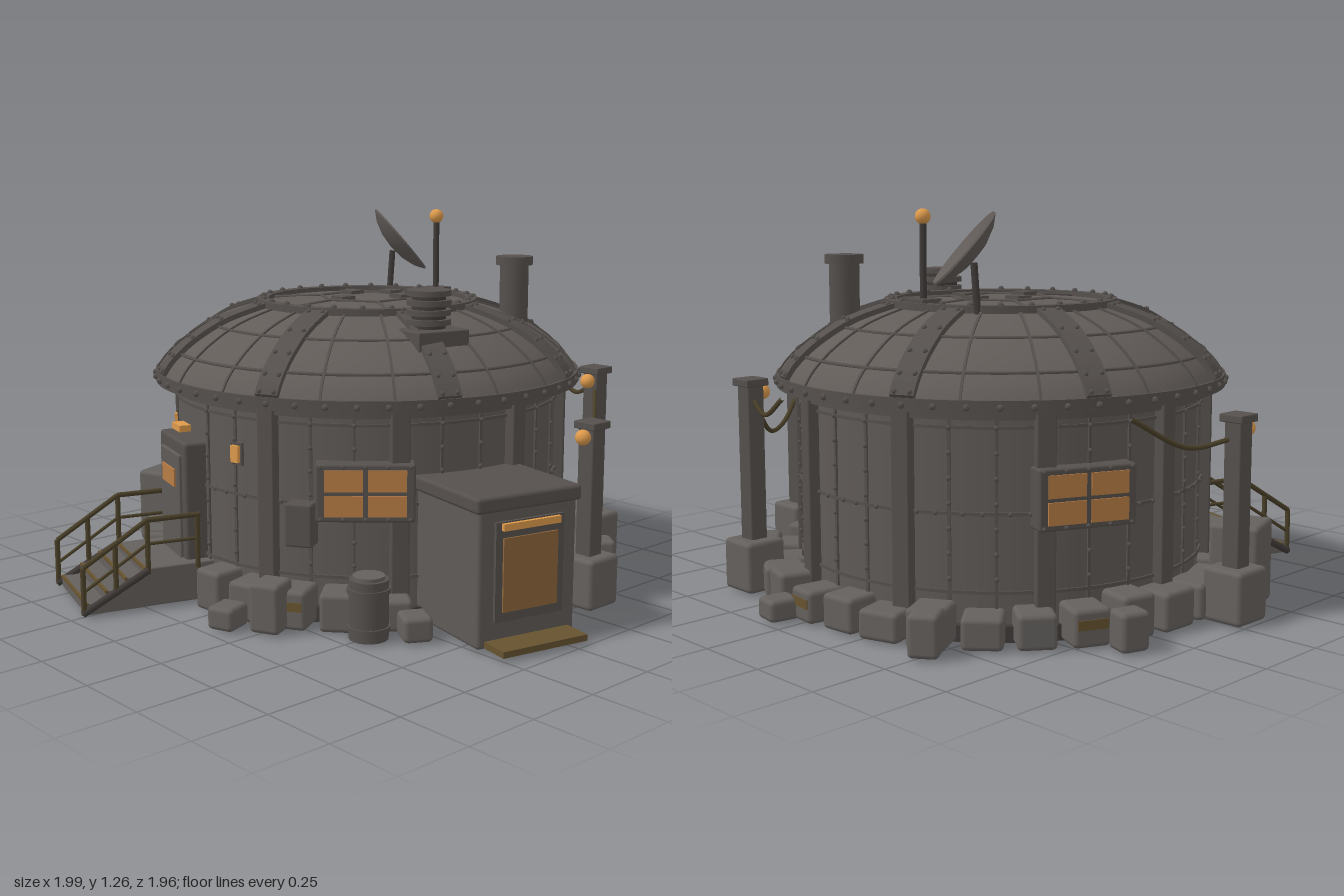
import * as THREE from 'three';
import { mergeGeometries, toCreasedNormals } from 'three/addons/utils/BufferGeometryUtils.js';
import { RoundedBoxGeometry } from 'three/addons/geometries/RoundedBoxGeometry.js';

const mat = (name, color, side = THREE.FrontSide) => {
  const m = new THREE.MeshStandardMaterial({ color, side });
  m.name = name;
  return m;
};
const V = (x, y, z) => new THREE.Vector3(x, y, z);
const rad = THREE.MathUtils.degToRad;

export function createModel() {
  const root = new THREE.Group();
  root.name = 'domeHut';
  const wallM = mat('wall grey', 0x5f5a57), roofM = mat('roof grey', 0x625c59, THREE.DoubleSide);
  const trimM = mat('trim grey', 0x55504d), stoneM = mat('stone grey', 0x64605d);
  const darkM = mat('dark iron', 0x403b39), brassM = mat('old brass', 0x66522f);
  const railM = mat('rail brass', 0x4a4029), amberM = mat('amber glass', 0xb87c45);
  const dullM = mat('dull amber', 0x8c663c), lampM = mat('lamp glow', 0xdd9a4c);

  // Helpers
  const add = (parent, name, geo, m, x = 0, y = 0, z = 0) => {
    const mesh = new THREE.Mesh(geo, m);
    mesh.name = name;
    mesh.position.set(x, y, z);
    parent.add(mesh);
    return mesh;
  };
  const box = (p, name, m, w, h, d, x, y, z, r = 0) =>
    add(p, name, r ? new RoundedBoxGeometry(w, h, d, 2, r) : new THREE.BoxGeometry(w, h, d), m, x, y, z);
  const cyl = (p, name, m, r, h, x, y, z, n = 24, r2 = r) =>
    add(p, name, new THREE.CylinderGeometry(r2, r, h, n), m, x, y, z);
  const rod = (p, name, m, a, b, r) => {
    const mesh = cyl(p, name, m, r, a.distanceTo(b), 0, 0, 0, 8);
    mesh.position.copy(a).lerp(b, 0.5);
    mesh.quaternion.setFromUnitVectors(V(0, 1, 0), b.clone().sub(a).normalize());
    return mesh;
  };
  const cable = (p, name, pts) =>
    add(p, name, new THREE.TubeGeometry(new THREE.CatmullRomCurve3(pts), 20, 0.008, 6), railM);
  const lathe = (pts, n = 72) =>
    toCreasedNormals(new THREE.LatheGeometry(pts.map(q => new THREE.Vector2(q[0], q[1])), n), 0.6);
  const band = (r0, r1, y0, y1) => lathe([[r0, y0], [r1, y0], [r1, y1], [r0, y1], [r0, y0]]);
  const rivets = (p, name, pts, r = 0.009) => add(p, name, mergeGeometries(
    pts.map(q => new THREE.SphereGeometry(r, 6, 4).translate(q.x, q.y, q.z))), trimM);
  const polar = (deg, r, y) => V(Math.sin(rad(deg)) * r, y, Math.cos(rad(deg)) * r);
  let seed = 7;
  const rnd = () => (seed = (seed * 16807) % 2147483647) / 2147483647;

  // Round body; each sector has local +z pointing outward
  const hub = new THREE.Group();
  hub.name = 'roundBody';
  hub.position.set(-0.09, 0, -0.135);
  root.add(hub);
  const sector = (name, deg) => {
    const g = new THREE.Group();
    g.name = name;
    g.rotation.y = rad(deg);
    hub.add(g);
    return g;
  };
  const R = 0.665, door = -17.5, annexDeg = 77;
  add(hub, 'wall', new THREE.CylinderGeometry(R, R, 0.7, 72, 1, true), wallM, 0, 0.36, 0);
  cyl(hub, 'floor', darkM, 0.69, 0.05, 0, 0.03, 0, 72);
  for (const y of [0.15, 0.385, 0.64]) add(hub, 'wallSeamRing', band(R - 0.01, R + 0.006, y - 0.005, y + 0.005), trimM);
  const wallRivets = [];
  for (let k = 0; k < 30; k++) {
    const a = 20 + 12 * k;
    if (Math.abs(a - 360 - door) < 11) continue;
    if (k % 3 === 0) {
      const s = sector('wallPillar', a);
      box(s, 'pillar', trimM, 0.06, 0.68, 0.05, 0, 0.36, R + 0.01, 0.006);
    } else {
      const s = sector('wallSeam', a);
      box(s, 'seam', trimM, 0.01, 0.64, 0.012, 0, 0.38, R);
      for (let y = 0.19; y < 0.68; y += 0.075) wallRivets.push(polar(a, R + 0.006, y));
    }
    for (const d of [-3.5, 3.5]) wallRivets.push(polar(a + d, R + 0.005, 0.385));
  }
  rivets(hub, 'wallRivets', wallRivets, 0.008);

  // Roof shell, eave, straps and seams
  const curve = new THREE.SplineCurve([[0.735, 0.725], [0.7, 0.775], [0.625, 0.84], [0.51, 0.905], [0.36, 0.952]]
    .map(q => new THREE.Vector2(q[0], q[1])));
  const prof = curve.getPoints(16);
  add(hub, 'roof', new THREE.LatheGeometry(prof, 72), roofM);
  add(hub, 'roofCap', new THREE.LatheGeometry([[0.37, 0.95], [0.25, 0.961], [0.12, 0.967], [0, 0.969]]
    .map(q => new THREE.Vector2(q[0], q[1])), 72), roofM);
  add(hub, 'eave', band(0.64, 0.742, 0.69, 0.73), trimM);
  add(hub, 'wallCrown', band(0.64, 0.69, 0.665, 0.695), trimM);
  add(hub, 'capRing', band(0.345, 0.385, 0.94, 0.968), trimM);
  const edge = [];
  for (let a = 0; a < 360; a += 7.5) edge.push(polar(a, 0.743, 0.71));
  for (let a = 0; a < 360; a += 15) edge.push(polar(a, 0.365, 0.969));
  rivets(hub, 'edgeRivets', edge, 0.011);
  for (const t of [0.35, 0.68]) {
    const q = curve.getPoint(t);
    add(hub, 'roofSeamRing', new THREE.TorusGeometry(q.x, 0.006, 6, 72).rotateX(Math.PI / 2), trimM, 0, q.y, 0);
  }
  const ribGeo = (w, t) => {
    const shape = new THREE.Shape([...prof.map(q => new THREE.Vector2(q.x + t * 0.6, q.y + t)),
      ...prof.slice().reverse().map(q => new THREE.Vector2(q.x - 0.02, q.y - 0.02))]);
    return new THREE.ExtrudeGeometry(shape, { depth: w, bevelEnabled: false })
      .translate(0, 0, -w / 2).rotateY(-Math.PI / 2);
  };
  const strapGeo = ribGeo(0.078, 0.014), seamGeo = ribGeo(0.008, 0.005);
  for (let k = 0; k < 8; k++) {
    const s = sector('roofStrap', 22.5 + 45 * k);
    add(s, 'strap', strapGeo, trimM);
    rivets(s, 'strapRivets', [0.06, 0.28, 0.5, 0.72, 0.93].flatMap(t => {
      const q = curve.getPoint(t);
      return [-0.025, 0.025].map(x => V(x, q.y + 0.015, q.x + 0.008));
    }));
    for (const d of [-9, 9]) add(sector('roofSeam', 45 * k + d), 'seam', seamGeo, trimM);
  }
  // Hexagonal cap panelling
  for (let k = 0; k < 6; k++) {
    rod(hub, 'capSeam', trimM, polar(60 * k, 0.17, 0.967), polar(60 * k + 60, 0.17, 0.967), 0.006);
    rod(hub, 'capSeam', trimM, polar(60 * k, 0.17, 0.967), polar(60 * k, 0.36, 0.954), 0.006);
  }
  for (const [x, z] of [[-0.11, -0.03], [0.1, -0.07], [0.01, 0.12], [-0.025, -0.14]])
    box(hub, 'capPlate', trimM, 0.06, 0.02, 0.06, x, 0.97, z);

  // Entrance
  const e = sector('entrance', door);
  box(e, 'doorFrame', trimM, 0.27, 0.41, 0.1, 0, 0.325, 0.675, 0.012);
  box(e, 'doorLeaf', wallM, 0.2, 0.36, 0.02, 0, 0.305, 0.725, 0.006);
  box(e, 'doorWindow', amberM, 0.13, 0.06, 0.008, 0, 0.4, 0.737);
  box(e, 'doorLamp', lampM, 0.08, 0.022, 0.04, 0, 0.56, 0.69);
  for (const d of [-26.5, 26.5]) {
    const s = sector('wallLamp', door + d);
    box(s, 'lampPlate', trimM, 0.045, 0.075, 0.02, 0, 0.52, R);
    box(s, 'lamp', lampM, 0.032, 0.055, 0.02, 0, 0.52, R + 0.012);
  }
  box(e, 'landing', stoneM, 0.34, 0.13, 0.25, 0, 0.07, 0.755, 0.006);
  for (let i = 0; i < 3; i++) {
    const h = 0.105 - i * 0.035, z = 0.91 + i * 0.065;
    box(e, 'step', stoneM, 0.34, h, 0.07, 0, h / 2 + 0.005, z);
    box(e, 'stepEdge', brassM, 0.34, 0.009, 0.009, 0, h + 0.003, z + 0.032);
  }
  box(e, 'landingEdge', brassM, 0.34, 0.009, 0.009, 0, 0.133, 0.878);
  for (const x of [-0.178, 0.178]) {
    rod(e, 'stringer', darkM, V(x, 0.13, 0.87), V(x, 0.012, 1.09), 0.013);
    const top = [V(x, 0.3, 0.69), V(x, 0.3, 0.87), V(x, 0.165, 1.085)];
    for (const dy of [0, -0.08]) for (let i = 0; i < 2; i++)
      rod(e, 'handrail', railM, top[i].clone().add(V(0, dy, 0)), top[i + 1].clone().add(V(0, dy, 0)), dy ? 0.006 : 0.009);
    for (const [y0, y1, z] of [[0.12, 0.3, 0.7], [0.12, 0.3, 0.87], [0.07, 0.232, 0.978], [0.01, 0.165, 1.085]])
      rod(e, 'railPost', railM, V(x, y0, z), V(x, y1, z), 0.009);
  }

  // Four-pane windows
  for (const a of [47, 246]) {
    const s = sector('window', a);
    box(s, 'windowFrame', trimM, 0.31, 0.185, 0.08, 0, 0.435, 0.675, 0.008);
    for (const x of [-0.068, 0.068]) for (const y of [0.395, 0.475])
      box(s, 'pane', amberM, 0.12, 0.068, 0.008, x, y, 0.716);
    rivets(s, 'windowRivets', [-0.14, -0.07, 0, 0.07, 0.14].flatMap(x => [V(x, 0.352, 0.715), V(x, 0.519, 0.715)]), 0.007);
  }
  box(sector('utilityBox', 30), 'box', trimM, 0.09, 0.14, 0.07, 0, 0.325, 0.69, 0.008);

  // Side annex
  const n = sector('annex', annexDeg);
  box(n, 'annexBody', wallM, 0.36, 0.44, 0.38, 0, 0.23, 0.79, 0.012);
  box(n, 'annexRoof', trimM, 0.385, 0.05, 0.4, 0, 0.455, 0.79, 0.012);
  box(n, 'annexDoorFrame', trimM, 0.25, 0.31, 0.02, 0, 0.245, 0.98);
  box(n, 'annexDoor', dullM, 0.2, 0.23, 0.008, 0, 0.235, 0.992);
  box(n, 'annexLamp', lampM, 0.21, 0.022, 0.025, 0, 0.385, 0.99);
  box(n, 'annexStep', brassM, 0.31, 0.02, 0.1, 0, 0.025, 1.03);

  // Foundation stones
  for (let k = 0; k < 30; k++) {
    const a = 5 + 12 * k, w = 0.11 + rnd() * 0.03, h = 0.09 + rnd() * 0.05, r = 0.695 + rnd() * 0.04;
    const off = (b, lim) => Math.abs(((a - b + 540) % 360) - 180) < lim;
    if (off(door, 15) || off(annexDeg, 13)) continue;
    const s = sector('foundationStone', a);
    box(s, 'stone', stoneM, w, h, 0.13, 0, h / 2 + 0.005, r, 0.016);
    if (k % 6 === 2) box(s, 'stoneBand', brassM, w * 0.8, 0.03, 0.008, 0, h * 0.65, r + 0.064);
  }
  const outer = [[-0.83, 0.21, 0.19, 0.27, 20], [-0.88, -0.4, 0.1, 0.12, -18], [-0.5, -0.845, 0.11, 0.13, 35],
    [0.08, -0.935, 0.11, 0.07, -8], [0.58, -0.625, 0.11, 0.13, -40], [0.14, 0.67, 0.11, 0.075, 20],
    [0.25, 0.585, 0.12, 0.16, 25], [0.61, 0.31, 0.11, 0.08, 60], [-0.62, 0.4, 0.12, 0.12, -45], [-0.76, 0.3, 0.1, 0.11, -30]];
  for (const [x, z, w, h, a] of outer)
    box(root, 'outerStone', stoneM, w * 0.85, h, w * 0.95, x, h / 2 + 0.005, z, 0.016).rotation.y = rad(a);

  // Barrel
  cyl(root, 'barrel', trimM, 0.062, 0.19, 0.51, 0.1, 0.41, 20);
  for (const y of [0.04, 0.16]) cyl(root, 'barrelHoop', trimM, 0.068, 0.016, 0.51, y, 0.41, 20);
  cyl(root, 'barrelLid', stoneM, 0.05, 0.012, 0.51, 0.2, 0.41, 20);

  // Lantern posts and hanging cables
  for (const [x, z, h] of [[-0.925, 0.05, 0.65], [0.42, -0.785, 0.71], [0.755, -0.345, 0.62]]) {
    const p = new THREE.Group();
    p.name = 'lanternPost';
    p.position.set(x, 0, z);
    root.add(p);
    box(p, 'postBase', stoneM, 0.145, 0.17, 0.145, 0, 0.09, 0, 0.016);
    box(p, 'post', trimM, 0.062, h - 0.03, 0.062, 0, h / 2, 0, 0.006);
    box(p, 'postCap', trimM, 0.085, 0.025, 0.085, 0, h - 0.013, 0, 0.004);
    add(p, 'lantern', new THREE.SphereGeometry(0.026, 16, 12), lampM, 0, h - 0.05, 0.045);
  }
  cable(root, 'leftCable', [V(-0.91, 0.57, 0.03), V(-0.87, 0.56, -0.13), V(-0.81, 0.66, -0.32)]);
  cable(root, 'rightCable', [V(0.74, 0.56, -0.37), V(0.65, 0.5, -0.49), V(0.55, 0.5, -0.62), V(0.43, 0.64, -0.77)]);
  cable(root, 'backCable', [V(0.4, 0.64, -0.79), V(0.32, 0.6, -0.8), V(0.24, 0.66, -0.79)]);

  // Roof fittings: chimney, louvred vent, antenna, dish
  cyl(root, 'chimney', trimM, 0.05, 0.25, 0.26, 0.97, -0.515);
  cyl(root, 'chimneyCap', trimM, 0.064, 0.03, 0.26, 1.095, -0.515);
  const vent = new THREE.Group();
  vent.name = 'roofVent';
  vent.position.set(0.375, 0, 0.025);
  vent.rotation.y = rad(-13);
  root.add(vent);
  box(vent, 'ventBase', trimM, 0.19, 0.07, 0.19, 0, 0.882, 0, 0.005);
  cyl(vent, 'ventCore', darkM, 0.055, 0.12, 0, 0.97, 0);
  for (let i = 0; i < 4; i++) cyl(vent, 'ventLouvre', trimM, 0.072, 0.018, 0, 0.938 + i * 0.031, 0);
  box(root, 'antennaBase', trimM, 0.08, 0.03, 0.08, -0.08, 0.965, -0.47);
  cyl(root, 'antenna', darkM, 0.011, 0.25, -0.08, 1.1, -0.47, 10);
  add(root, 'antennaBulb', new THREE.SphereGeometry(0.025, 16, 12), lampM, -0.08, 1.237, -0.47);
  rod(root, 'dishPole', darkM, V(-0.305, 0.94, -0.45), V(-0.295, 1.1, -0.455), 0.011);
  const dish = add(root, 'dish', lathe([[0, -0.03], [0.06, -0.024], [0.11, -0.008], [0.145, 0.014],
    [0.142, 0.02], [0.1, 0.002], [0.05, -0.014], [0, -0.018]], 36), roofM, -0.28, 1.133, -0.465);
  dish.quaternion.setFromUnitVectors(V(0, 1, 0), V(0.47, 0.65, -0.6).normalize());
  return root;
}
